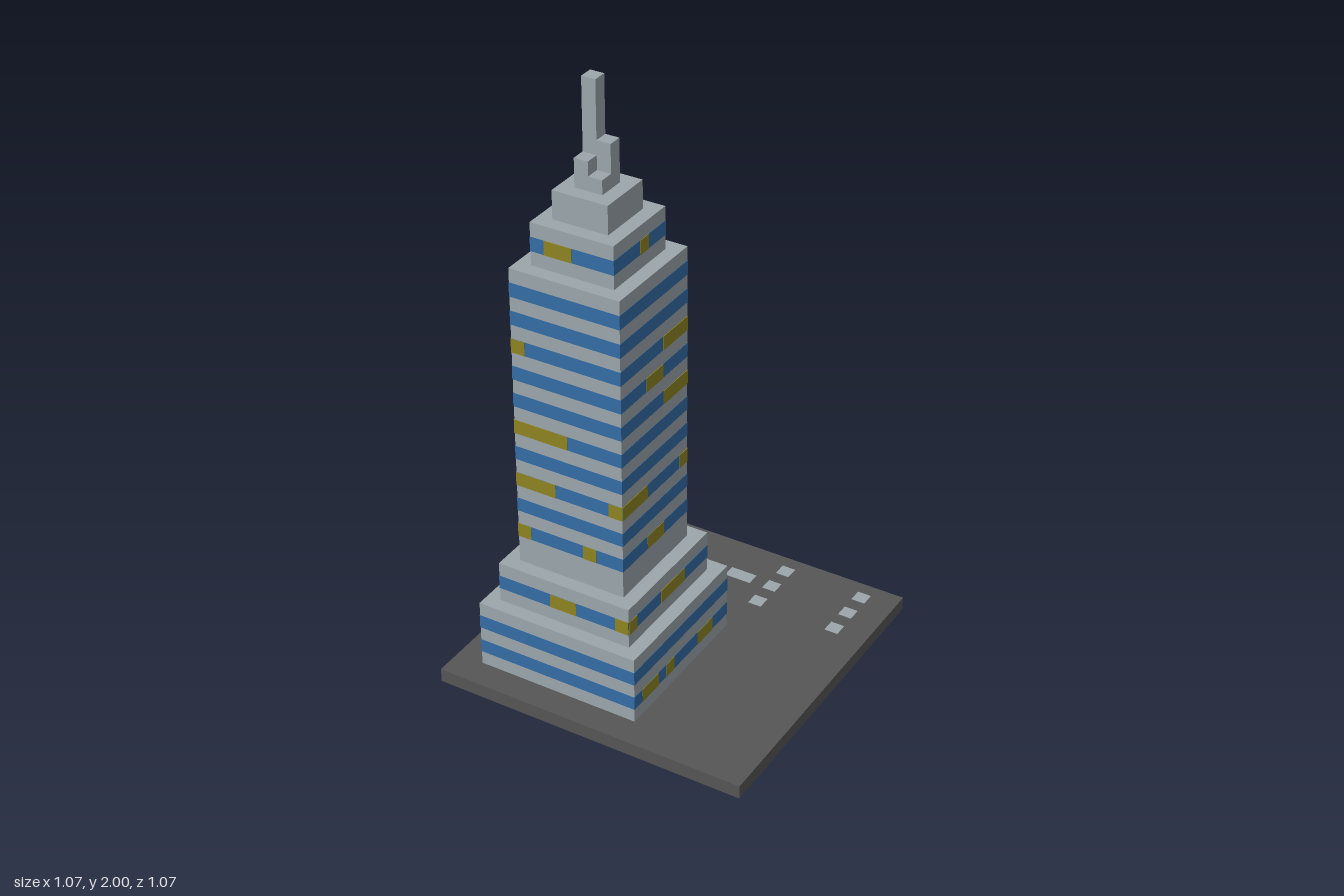
import * as THREE from 'three';

const U = 2 / 43;   // one building block
const C = 11.5;     // half of the ground slab, in blocks

const material = (name, color) => {
  const m = new THREE.MeshStandardMaterial({ color });
  m.name = name;
  return m;
};

export function createModel() {
  const model = new THREE.Group();
  model.name = 'skyscraper';
  const stone = material('pale grey stone', 0x9ca7ab);
  const asphalt = material('dark asphalt', 0x565656);
  const glass = material('blue glass', 0x346da6);
  const lit = material('lit yellow window', 0x8f8423);

  // box between block coordinates, grown outward by g blocks
  function block(name, mat, [x0, x1], [y0, y1], [z0, z1], g = [0, 0, 0], parent = model) {
    const mesh = new THREE.Mesh(new THREE.BoxGeometry(
      (x1 - x0 + 2 * g[0]) * U, (y1 - y0 + 2 * g[1]) * U, (z1 - z0 + 2 * g[2]) * U), mat);
    mesh.position.set(((x0 + x1) / 2 - C) * U, (y0 + y1) / 2 * U, ((z0 + z1) / 2 - C) * U);
    mesh.name = name;
    parent.add(mesh);
  }

  // square storey with an entrance recess in the middle of its back
  function notched(name, mat, y0, y1, g, parent) {
    const pts = [[2 - g, 9 - g], [7 + g, 9 - g], [7 + g, 10 - g], [9 - g, 10 - g],
      [9 - g, 9 - g], [14 + g, 9 - g], [14 + g, 21 + g], [2 - g, 21 + g]];
    const shape = new THREE.Shape(pts.map(([x, z]) => new THREE.Vector2((x - C) * U, -(z - C) * U)));
    const geo = new THREE.ExtrudeGeometry(shape, { depth: (y1 - y0) * U, bevelEnabled: false });
    geo.rotateX(-Math.PI / 2);
    const mesh = new THREE.Mesh(geo, mat);
    mesh.position.y = y0 * U;
    mesh.name = name;
    parent.add(mesh);
  }

  // ground slab with path markings and posts set through it
  block('groundSlab', asphalt, [0, 23], [0, 1], [0, 23]);
  const e = 0.02;
  block('roadMarking', stone, [0, 1], [0, 1], [3, 4], [e, e, 0]);
  for (const x of [3, 7, 11]) block('roadMarking', stone, [x, x + 2], [0, 1], [3, 4], [0, e, 0]);
  for (const x of [14, 20])
    for (const z of [1, 3, 5]) block('parkingMarking', stone, [x, x + 1], [0, 1], [z, z + 1], [0, e, 0]);

  // tiers: x range, y range, z range, window rows
  const tiers = [
    { name: 'podium', x: [2, 14], y: [1, 6], z: [9, 21], rows: [2, 4] },
    { name: 'lowerSetback', x: [3, 13], y: [6, 9], z: [10, 20], rows: [7] },
    { name: 'shaft', x: [4, 12], y: [9, 31], z: [11, 19], rows: [11, 13, 15, 17, 19, 21, 23, 25, 27, 29] },
    { name: 'upperSetback', x: [5, 11], y: [31, 34], z: [12, 18], rows: [32] },
    { name: 'crown', x: [6, 10], y: [34, 36], z: [13, 17], rows: [] },
  ];

  // lit windows by side and row, as block spans along the wall
  const litRows = {
    front: { 32: [[6, 8]], 25: [[4, 5]], 19: [[4, 8]], 15: [[4, 7], [11, 12]],
      11: [[4, 5], [9, 10]], 7: [[7, 9], [12, 13]] },
    right: { 32: [[14, 15]], 25: [[11, 14]], 23: [[14, 16]], 21: [[11, 14]],
      15: [[16, 19], [11, 12]], 11: [[14, 16]], 7: [[19, 20], [13, 16]],
      2: [[18, 20], [16, 17], [11, 13]] },
    back: { 32: [[7, 9]], 25: [[5, 8], [11, 12]], 21: [[5, 8], [11, 12]],
      15: [[7, 9], [11, 12]], 11: [[5, 6], [9, 11]], 7: [[6, 9]], 2: [[4, 7], [10, 12]] },
    left: { 25: [[18, 19]], 19: [[17, 19]], 15: [[17, 19]], 11: [[18, 19], [13, 15]],
      7: [[14, 16]], 2: [[15, 17]] },
  };

  for (const t of tiers) {
    const tier = new THREE.Group();
    tier.name = t.name;
    model.add(tier);
    if (t.name === 'podium') notched('podiumWalls', stone, 1, 6, 0, tier);
    else block(t.name + 'Walls', stone, t.x, t.y, t.z, [0, 0, 0], tier);

    for (const row of t.rows) {
      const y = [row, row + 1];
      if (t.name === 'podium') notched('windowBand', glass, row, row + 1, e, tier);
      else block('windowBand', glass, t.x, y, t.z, [e, 0, e], tier);

      // thin plates just proud of the glass
      const d = 0.05;
      const spans = (side) => litRows[side][row] || [];
      for (const s of spans('front')) block('litWindow', lit, s, y, [t.z[1], t.z[1] + d], [0, 0, 0], tier);
      for (const s of spans('back')) block('litWindow', lit, s, y, [t.z[0] - d, t.z[0]], [0, 0, 0], tier);
      for (const s of spans('right')) block('litWindow', lit, [t.x[1], t.x[1] + d], y, s, [0, 0, 0], tier);
      for (const s of spans('left')) block('litWindow', lit, [t.x[0] - d, t.x[0]], y, s, [0, 0, 0], tier);
    }
  }

  // spire of four columns of different heights
  for (const [x, z, top] of [[7, 14, 43], [8, 14, 39], [7, 15, 38], [8, 15, 37]])
    block('spireColumn', stone, [x, x + 1], [36, top], [z, z + 1]);

  return model;
}
